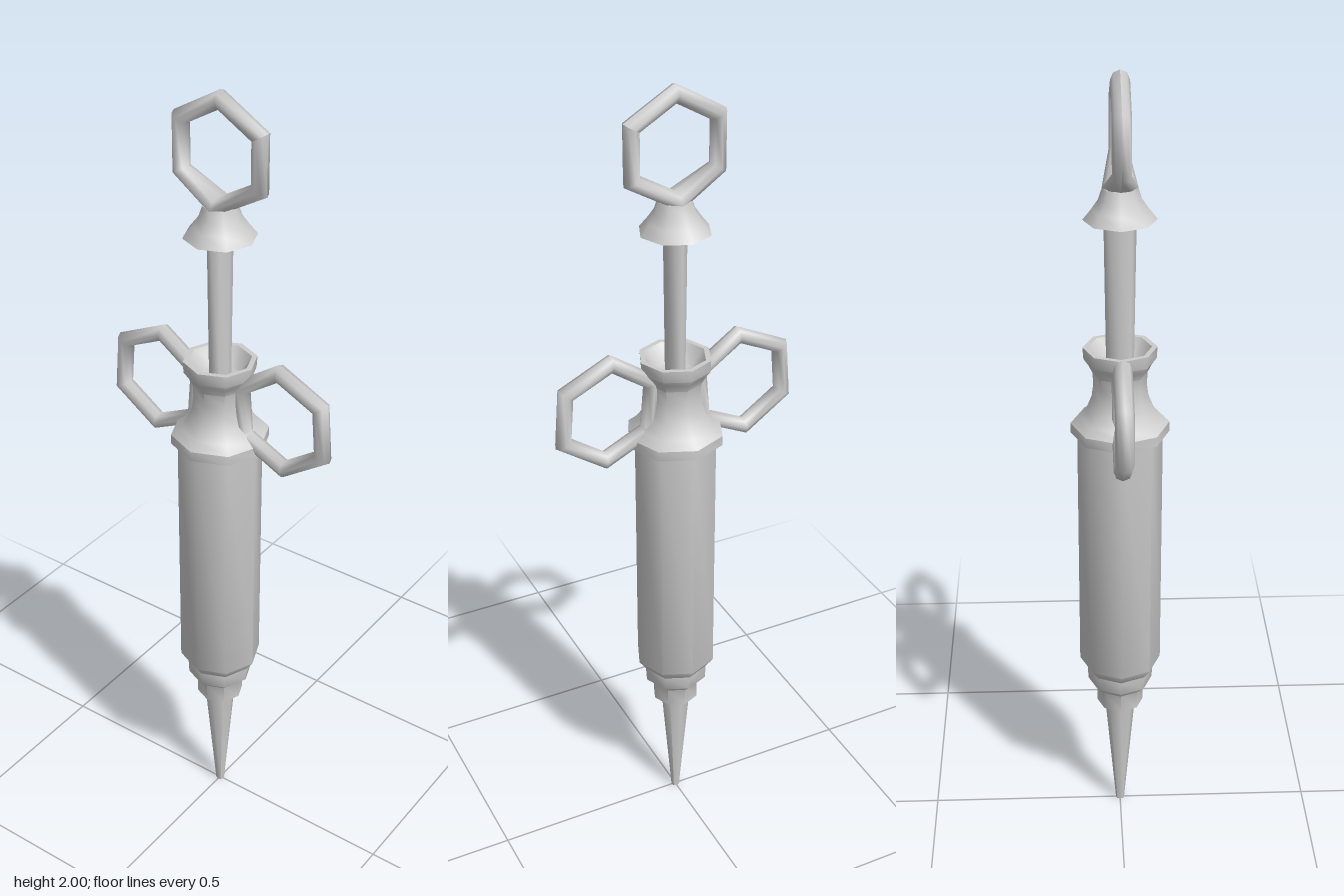
import * as THREE from 'three';
import { toCreasedNormals } from 'three/addons/utils/BufferGeometryUtils.js';

const CREASE = 0.83; // keeps the eight sides smooth, sharpens the steps
const RING_RADIUS = 0.124;
const RING_TUBE = 0.022;

export function createModel() {
  const group = new THREE.Group();
  const material = new THREE.MeshStandardMaterial({ color: 0xcccccc });

  const add = (name, geometry) => {
    const mesh = new THREE.Mesh(geometry, material);
    mesh.name = name;
    group.add(mesh);
    return mesh;
  };

  // Eight-sided turned part; profile runs from bottom to top as [radius, y]
  const turned = (name, profile) => {
    const points = profile.map(([r, y]) => new THREE.Vector2(r, y));
    return add(name, toCreasedNormals(new THREE.LatheGeometry(points, 8), CREASE));
  };

  // Six-sided finger ring with a corner at the top
  const ringGeometry = (radius) =>
    new THREE.TorusGeometry(radius, RING_TUBE, 8, 6).rotateZ(Math.PI / 6);

  // Needle and stepped nozzle
  turned('needle', [[0, 0], [0.011, 0], [0.04, 0.335]]);
  turned('nozzle', [
    [0, 0.33], [0.06, 0.33], [0.06, 0.378], [0.083, 0.4],
    [0.085, 0.44], [0.06, 0.44],
  ]);

  // Barrel with bevelled lower edge
  turned('barrel', [[0, 0.438], [0.085, 0.438], [0.104, 0.465], [0.104, 1.13]]);

  // Collar, waisted grip and dished rim
  turned('grip', [
    [0.1, 1.118], [0.12, 1.122], [0.12, 1.147], [0.098, 1.165], [0.08, 1.19],
    [0.068, 1.22], [0.064, 1.25], [0.066, 1.28], [0.076, 1.3], [0.087, 1.315],
    [0.089, 1.345], [0.076, 1.345], [0.045, 1.305], [0, 1.3],
  ]);

  // Flattened plunger rod
  turned('plungerRod', [[0.033, 1.29], [0.038, 1.665]]).scale.x = 0.66;

  // Flared thumb cap
  turned('thumbCap', [
    [0, 1.66], [0.086, 1.66], [0.066, 1.685], [0.05, 1.708], [0.041, 1.735], [0, 1.745],
  ]);

  // Thumb ring, thickened where it meets the cap
  const thumb = ringGeometry(0.122);
  const pos = thumb.attributes.position;
  for (let i = 0; i < pos.count; i++) {
    if (Math.abs(pos.getX(i)) < 0.01 && pos.getY(i) < 0) pos.setZ(i, pos.getZ(i) * 1.9);
  }
  thumb.computeVertexNormals();
  add('thumbRing', thumb).position.y = 1.856;

  // Tilted finger rings on both sides of the grip
  for (const [name, side] of [['leftFingerRing', 1], ['rightFingerRing', -1]]) {
    const ring = add(name, ringGeometry(RING_RADIUS + 0.003));
    ring.position.set(side * 0.177, 1.235, 0);
    ring.rotation.z = side * 0.08;
  }

  return group;
}
